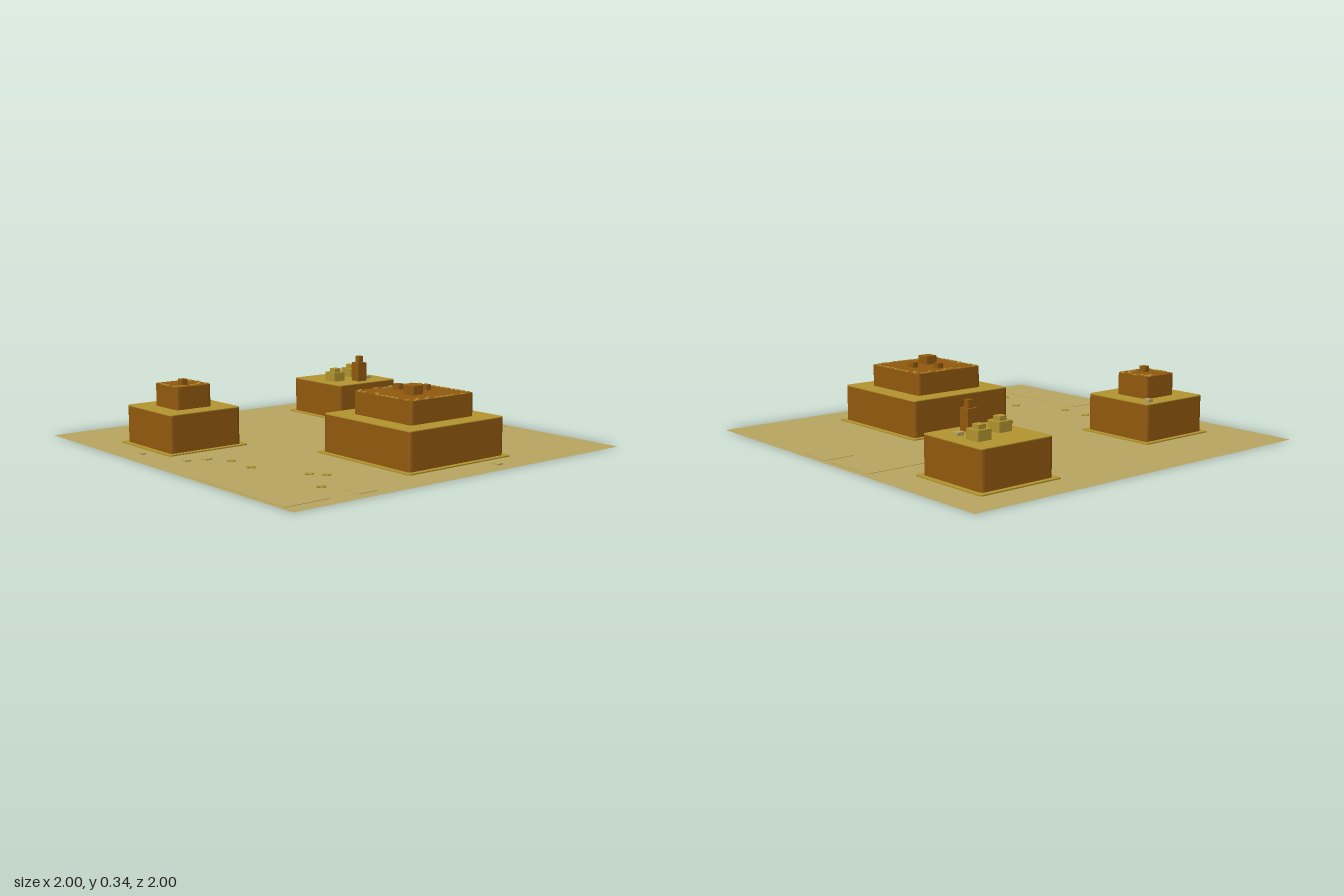
import * as THREE from 'three';

const mat = (name, color, extra = {}) => {
  const m = new THREE.MeshStandardMaterial({ color, ...extra });
  m.name = name;
  return m;
};

// Slab with rounded corners in plan, spanning y0..y1, centred on (x, z)
function roundedSlab(w, d, r, y0, y1, x, z) {
  const s = new THREE.Shape();
  const a = w / 2, b = d / 2;
  s.moveTo(-a + r, -b);
  s.lineTo(a - r, -b);
  s.quadraticCurveTo(a, -b, a, -b + r);
  s.lineTo(a, b - r);
  s.quadraticCurveTo(a, b, a - r, b);
  s.lineTo(-a + r, b);
  s.quadraticCurveTo(-a, b, -a, b - r);
  s.lineTo(-a, -b + r);
  s.quadraticCurveTo(-a, -b, -a + r, -b);
  const g = new THREE.ExtrudeGeometry(s, { depth: y1 - y0, bevelEnabled: false, curveSegments: 4 });
  return g.rotateX(-Math.PI / 2).translate(x, y0, z);
}

const box = (w, d, y0, y1, x, z) => new THREE.BoxGeometry(w, y1 - y0, d).translate(x, (y0 + y1) / 2, z);

export function createModel() {
  const model = new THREE.Group();
  model.name = 'desertTerrain';
  const sand = mat('sand', 0xb8a55f, { side: THREE.DoubleSide });
  const ochre = mat('ochre', 0xb2942e);
  const rock = mat('brownRock', 0x92590e);

  const add = (name, geometry, material, parent = model) => {
    const mesh = new THREE.Mesh(geometry, material);
    mesh.name = name;
    parent.add(mesh);
    return mesh;
  };
  let seed = 7;
  const rand = () => (seed = (seed * 16807) % 2147483647) / 2147483647;

  // Ground sheet and its faint raised panels
  add('ground', new THREE.PlaneGeometry(2, 2).rotateX(-Math.PI / 2), sand);
  for (const [x0, x1, z0, z1] of [
    [0.28, 0.92, 0.75, 0.98], [0.82, 0.94, 0.51, 0.61], [-0.22, 0.07, -0.97, -0.57],
    [-0.36, -0.23, -0.5, -0.41], [0.11, 0.3, -0.97, -0.82],
  ]) add('groundPanel', box(x1 - x0, z1 - z0, 0, 0.002, (x0 + x1) / 2, (z0 + z1) / 2), sand);

  // Mesas: skirt, cliff, capped top, and an optional upper tier
  const mesas = [
    { x: 0.5, z: -0.1, size: 0.6, upper: 0.4 },
    { x: -0.6, z: -0.6, size: 0.4, upper: 0 },
    { x: -0.4, z: 0.6, size: 0.4, upper: 0.2 },
  ];
  for (const { x, z, size, upper } of mesas) {
    const mesa = new THREE.Group();
    mesa.name = 'mesa';
    model.add(mesa);
    add('skirt', roundedSlab(size + 0.05, size + 0.05, 0.015, 0, 0.006, x, z), ochre, mesa);
    add('cliff', roundedSlab(size, size, 0.02, 0.004, 0.186, x, z), rock, mesa);
    add('plateau', roundedSlab(size, size, 0.02, 0.186, 0.19, x, z), ochre, mesa);
    if (!upper) continue;
    add('upperTier', roundedSlab(upper, upper, 0.02, 0.19, 0.3, x, z), rock, mesa);

    // Sandy flecks scattered along the four top edges
    const count = Math.round(upper * 28);
    for (let side = 0; side < 4; side++) {
      for (let i = 0; i < count; i++) {
        if (rand() < 0.3) continue;
        const t = ((i + 0.5) / count - 0.5) * (upper - 0.04);
        const e = upper / 2 - 0.008 - (rand() < 0.25 ? 0.025 : 0);
        const c = Math.round(Math.cos(side * Math.PI / 2)), s = Math.round(Math.sin(side * Math.PI / 2));
        add('edgeFleck', box(c ? 0.014 : 0.02, c ? 0.02 : 0.014, 0.299, 0.303,
          x + c * e - s * t, z + s * e + c * t), ochre, mesa);
      }
    }
  }

  // Boulders on the upper tiers: x, z, width, top
  for (const [x, z, w, top] of [
    [0.545, -0.055, 0.07, 0.342], [0.495, -0.185, 0.038, 0.326],
    [0.395, -0.1, 0.038, 0.326], [-0.37, 0.62, 0.038, 0.328],
  ]) add('boulder', roundedSlab(w, w, 0.008, 0.3, top, x, z), rock);

  // Stepped ochre blocks on the bare mesa
  for (const [x, z] of [[-0.65, -0.69], [-0.575, -0.51]]) {
    add('steppedBlockBase', roundedSlab(0.08, 0.08, 0.008, 0.19, 0.238, x, z), ochre);
    add('steppedBlockTop', roundedSlab(0.045, 0.045, 0.006, 0.238, 0.258, x, z), ochre);
  }

  // Rock chimney
  add('chimney', box(0.056, 0.056, 0.19, 0.292, -0.485, -0.61), rock);
  add('chimneyCap', box(0.03, 0.03, 0.292, 0.328, -0.485, -0.61), rock);

  // Pale stones on the plateaus and the ground
  for (const [x, z, w, y0, y1] of [
    [-0.53, -0.705, 0.034, 0.19, 0.205], [-0.55, 0.46, 0.034, 0.19, 0.205],
    [-0.02, 0.72, 0.04, 0, 0.006], [-0.05, 0.81, 0.03, 0, 0.006],
    [-0.31, 0.89, 0.025, 0, 0.006], [0.905, -0.25, 0.035, 0, 0.006],
  ]) add('stone', box(w, w, y0, y1, x, z), sand);

  // Cross-shaped dry tufts
  for (const [x, z] of [[0.08, 0.65], [0.25, 0.66], [0.52, 0.54], [0.58, 0.49], [0.74, 0.65]]) {
    add('tuft', box(0.045, 0.014, 0, 0.003, x, z), ochre);
    add('tuft', box(0.014, 0.045, 0, 0.0035, x, z), ochre);
  }
  return model;
}
